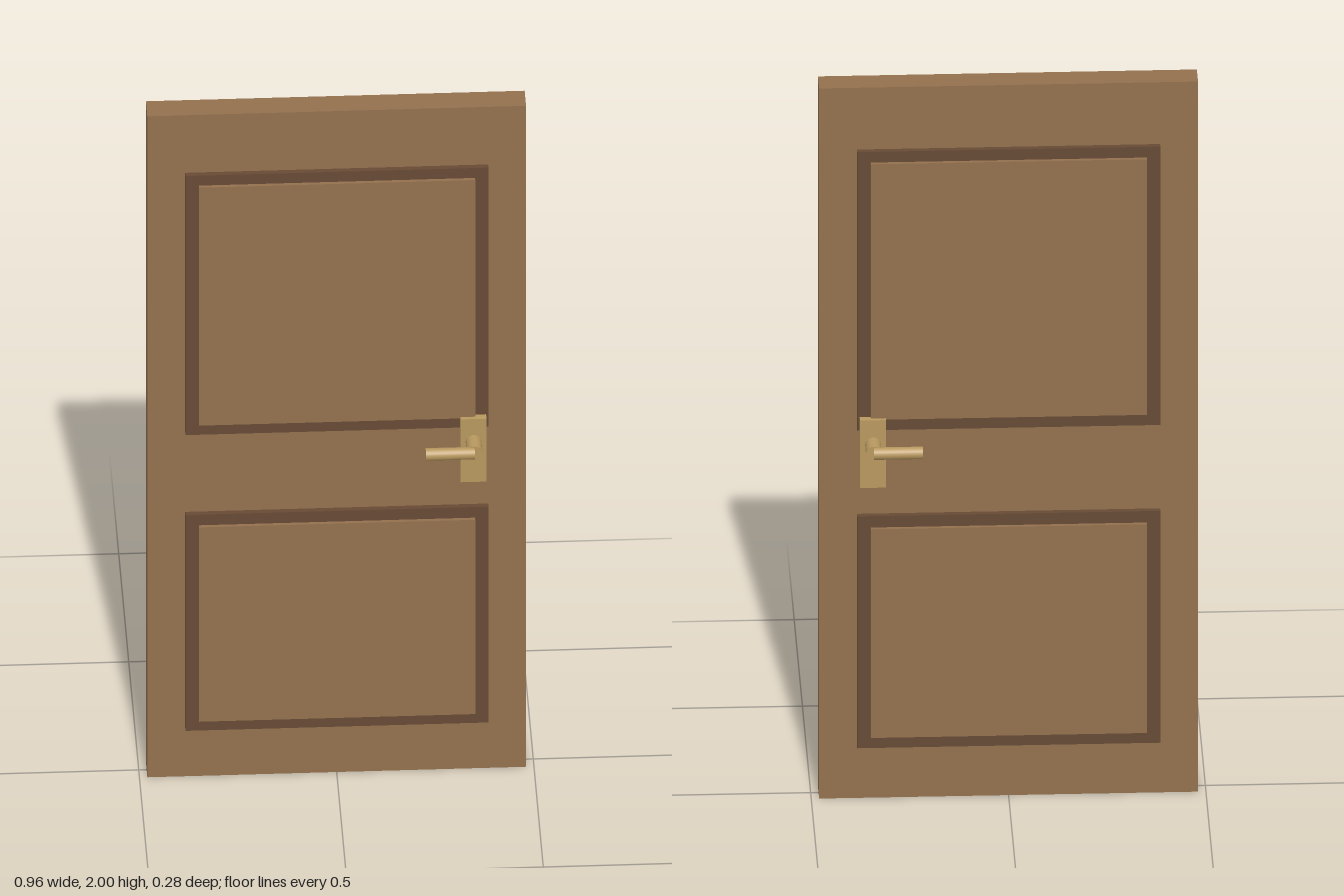
import * as THREE from 'three';

const material = (name, color) => {
  const m = new THREE.MeshStandardMaterial({ color });
  m.name = name;
  return m;
};

export function createModel() {
  const wood = material('wood', 0x93704e);
  const darkWood = material('darkWood', 0x674a35);
  const brass = material('brass', 0xb8985f);

  const door = new THREE.Group();
  door.name = 'door';

  const add = (parent, name, geometry, mat, x, y, z) => {
    const mesh = new THREE.Mesh(geometry, mat);
    mesh.name = name;
    mesh.position.set(x, y, z);
    parent.add(mesh);
    return mesh;
  };
  // Box given by its lower and upper limits on each axis
  const box = (parent, name, mat, [x0, x1], [y0, y1], [z0, z1]) =>
    add(parent, name, new THREE.BoxGeometry(x1 - x0, y1 - y0, z1 - z0), mat,
      (x0 + x1) / 2, (y0 + y1) / 2, (z0 + z1) / 2);

  // Slab
  box(door, 'slab', wood, [-0.48, 0.48], [0, 2], [-0.035, 0.035]);

  // Moulding frame with a raised panel inside it, running through both faces
  const panels = [
    { name: 'lower', trim: [0.147, 0.8], field: [0.18, 0.768] },
    { name: 'upper', trim: [1.042, 1.826], field: [1.076, 1.796] },
  ];
  for (const { name, trim, field } of panels) {
    box(door, `${name}Moulding`, darkWood, [-0.384, 0.384], trim, [-0.05, 0.05]);
    box(door, `${name}Panel`, wood, [-0.35, 0.35], field, [-0.06, 0.06]);
  }

  // Handle set on each face
  for (const side of [1, -1]) {
    const handle = new THREE.Group();
    handle.name = side > 0 ? 'frontHandle' : 'backHandle';
    const z = (a, b) => (side > 0 ? [a, b] : [-b, -a]);
    box(handle, 'backplate', brass, [0.312, 0.378], [0.89, 1.08], z(0.05, 0.071));
    add(handle, 'spindle', new THREE.CylinderGeometry(0.02, 0.02, 0.065, 20), brass,
      0.345, 1.012, side * 0.0925).rotation.x = Math.PI / 2;
    add(handle, 'lever', new THREE.CylinderGeometry(0.016, 0.016, 0.124, 20), brass,
      0.283, 1.012, side * 0.124).rotation.z = Math.PI / 2;
    door.add(handle);
  }
  return door;
}
